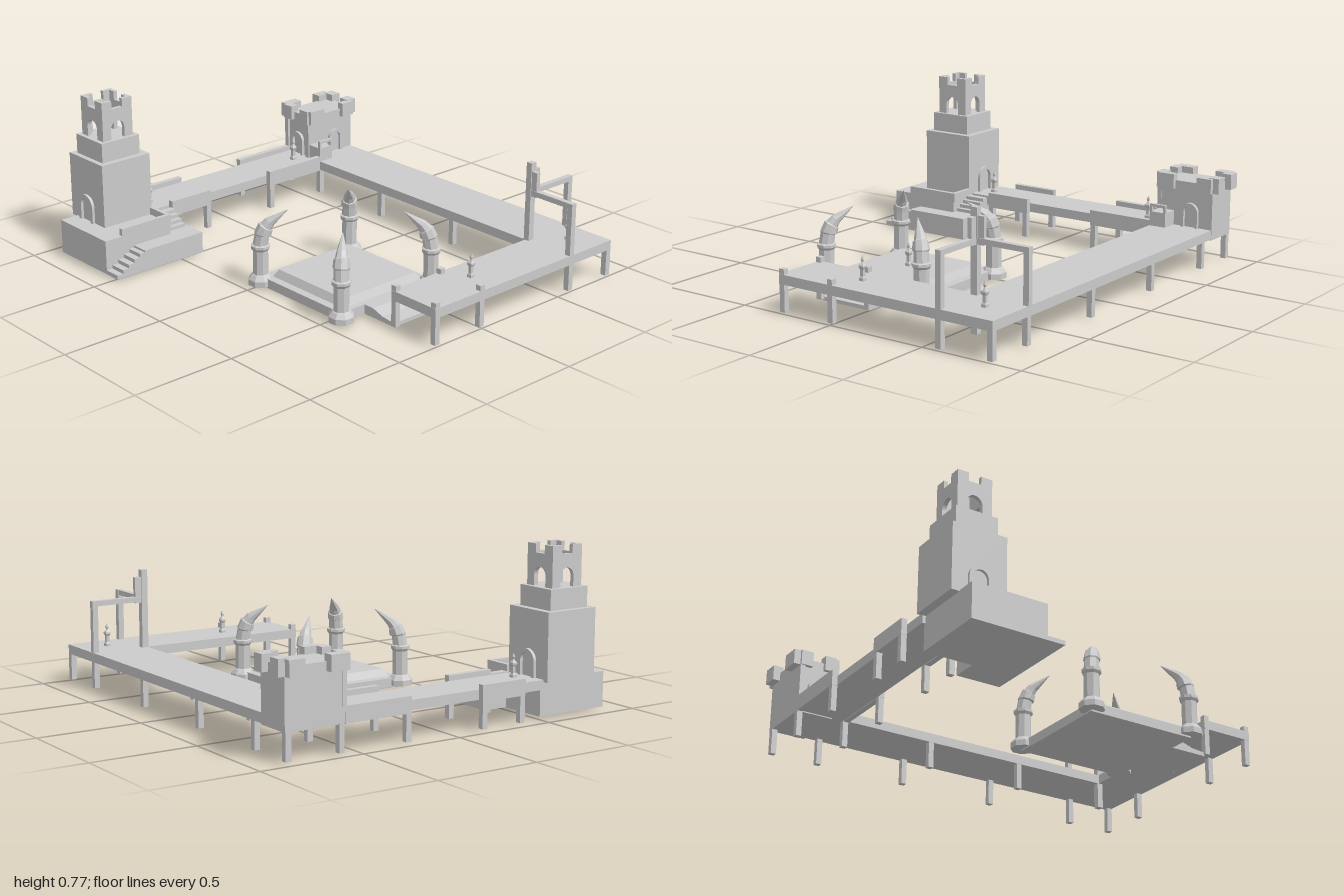
import * as THREE from 'three';

const mat = new THREE.MeshStandardMaterial({ color: 0xcccccc, flatShading: true, side: THREE.DoubleSide });

function add(parent, name, geo) {
  const m = new THREE.Mesh(geo, mat);
  m.name = name;
  parent.add(m);
  return m;
}

// Box given by its min and max on each axis
function box(parent, name, x0, x1, y0, y1, z0, z1) {
  const m = add(parent, name, new THREE.BoxGeometry(x1 - x0, y1 - y0, z1 - z0));
  m.position.set((x0 + x1) / 2, (y0 + y1) / 2, (z0 + z1) / 2);
  return m;
}

function group(parent, name) {
  const g = new THREE.Group();
  g.name = name;
  parent.add(g);
  return g;
}

function extrude(shape, depth) {
  return new THREE.ExtrudeGeometry(shape, { depth, bevelEnabled: false, curveSegments: 10 });
}

// Arched door surround, standing on y = 0 and facing +z
function archFrame(w, h, t, depth) {
  const r = w / 2, ri = r - t, s = new THREE.Shape();
  s.moveTo(r, 0);
  s.lineTo(r, h - r);
  s.absarc(0, h - r, r, 0, Math.PI, false);
  s.lineTo(-r, 0);
  s.lineTo(-ri, 0);
  s.lineTo(-ri, h - r);
  s.absarc(0, h - r, ri, Math.PI, 0, true);
  s.lineTo(ri, 0);
  return extrude(s, depth);
}

// Belfry wall with an arched opening below and a notch in the top
function belfryWall(w, h, t) {
  const s = new THREE.Shape(), a = 0.038, n = 0.03;
  s.moveTo(w / 2, 0);
  s.lineTo(w / 2, h);
  s.lineTo(n, h);
  s.lineTo(n, h - 0.04);
  s.lineTo(-n, h - 0.04);
  s.lineTo(-n, h);
  s.lineTo(-w / 2, h);
  s.lineTo(-w / 2, 0);
  s.lineTo(-a, 0);
  s.lineTo(-a, 0.05);
  s.absarc(0, 0.05, a, Math.PI, 0, true);
  s.lineTo(a, 0);
  return extrude(s, t);
}

function buildTower(root) {
  const g = group(root, 'tower');
  box(g, 'towerBase', -0.925, -0.56, 0.01, 0.175, 0.51, 0.885);
  box(g, 'towerBody', -0.965, -0.70, 0.17, 0.485, 0.515, 0.79);
  box(g, 'towerTier', -0.936, -0.73, 0.485, 0.58, 0.55, 0.765);
  const cx = -0.833, cz = 0.658, w = 0.17;
  for (let i = 0; i < 4; i++) {
    const side = group(g, 'belfrySide');
    side.position.set(cx, 0.58, cz);
    side.rotation.y = i * Math.PI / 2;
    add(side, 'belfryWall', belfryWall(w, 0.19, 0.02)).position.z = w / 2 - 0.02;
  }
  // Door surrounds on the front and towards the walkway
  for (const z of [0.787, 0.5]) add(g, 'towerDoorFrame', archFrame(0.11, 0.135, 0.018, 0.017)).position.set(cx, 0.172, z);

  // Side landing with outer stair and inner stair up to the walkway
  box(g, 'landing', -0.69, -0.475, 0.01, 0.112, 0.385, 0.725);
  for (let i = 0; i < 5; i++) {
    box(g, 'outerStep', -0.56, -0.475, 0.01, 0.03 + i * 0.018, 0.72, 0.885 - i * 0.033);
  }
  for (let i = 0; i < 4; i++) {
    box(g, 'innerStep', -0.70, -0.59 - i * 0.025, 0.11, 0.128 + i * 0.017, 0.40, 0.515);
  }
  box(g, 'stairWall', -0.70, -0.565, 0.165, 0.21, 0.505, 0.525);
  box(g, 'sideWall', -0.58, -0.56, 0.165, 0.21, 0.505, 0.79);
}

function buildWalkways(root) {
  const g = group(root, 'walkways');
  box(g, 'backDeck', -0.965, 1, 0.135, 0.18, -0.86, -0.57);
  box(g, 'leftDeck', -0.94, -0.727, 0.135, 0.18, -0.57, 0.52);
  box(g, 'rightDeck', 0.73, 1, 0.135, 0.18, -0.57, 0.29);
  // Low parapets on the left walkway
  for (const [z0, z1] of [[-0.57, -0.23], [0.15, 0.39]]) {
    for (const [x0, x1] of [[-0.967, -0.94], [-0.727, -0.70]]) box(g, 'parapet', x0, x1, 0.13, 0.205, z0, z1);
  }
  const leg = (x, z, top = 0.135) => box(g, 'leg', x - 0.0135, x + 0.0135, 0.008, top, z - 0.0135, z + 0.0135);
  for (const z of [-0.245, 0.165, 0.375]) {
    leg(-0.952, z);
    leg(-0.715, z);
  }
  for (const x of [-0.952, -0.715, -0.252, 0.25]) {
    leg(x, -0.845);
    leg(x, -0.585);
  }
  leg(0.74, -0.845);
  for (const x of [0.743, 0.985]) {
    leg(x, 0.275, 0.205);
    leg(x, 0, 0.205);
  }
}

function buildGateFrame(root) {
  const g = group(root, 'gateFrame');
  box(g, 'tallPost', 0.722, 0.752, 0.008, 0.56, -0.6, -0.568);
  box(g, 'postShoulderX', 0.752, 0.782, 0.40, 0.52, -0.595, -0.573);
  box(g, 'postShoulderZ', 0.727, 0.747, 0.40, 0.525, -0.632, -0.6);
  box(g, 'beamX', 0.75, 1, 0.405, 0.43, -0.597, -0.571);
  box(g, 'beamZ', 0.724, 0.75, 0.405, 0.43, -0.862, -0.6);
  box(g, 'endPostX', 0.972, 1, 0.008, 0.43, -0.598, -0.57);
  box(g, 'endPostZ', 0.724, 0.75, 0.18, 0.43, -0.862, -0.834);
  box(g, 'cornerLeg', 0.972, 1, 0.008, 0.135, -0.86, -0.832);
}

function buildGatehouse(root) {
  const g = group(root, 'gatehouse');
  box(g, 'gatehouseBody', -0.965, -0.785, 0.13, 0.40, -0.862, -0.575);
  // Overhanging merlons round the roof
  for (const [z0, z1] of [[-0.862, -0.785], [-0.66, -0.567]]) {
    box(g, 'merlon', -1, -0.95, 0.36, 0.432, z0, z1);
    box(g, 'merlon', -0.80, -0.765, 0.36, 0.432, z0, z1);
  }
  for (const [x0, x1] of [[-0.967, -0.907], [-0.843, -0.785]]) {
    box(g, 'merlon', x0, x1, 0.36, 0.435, -0.893, -0.84);
    box(g, 'merlon', x0, x1, 0.36, 0.432, -0.6, -0.555);
  }
  // Front corner posts and doorways
  for (const x of [-0.955, -0.795]) box(g, 'cornerPost', x - 0.012, x + 0.012, 0.18, 0.4, -0.585, -0.562);
  add(g, 'frontDoorFrame', archFrame(0.09, 0.12, 0.015, 0.015)).position.set(-0.875, 0.18, -0.575);
  const side = add(g, 'sideDoorFrame', archFrame(0.09, 0.12, 0.015, 0.015));
  side.position.set(-0.785, 0.18, -0.745);
  side.rotation.y = Math.PI / 2;
  // Small open booth beside the side door
  box(g, 'boothBase', -0.785, -0.70, 0.18, 0.25, -0.655, -0.57);
  for (const z of [-0.65, -0.575]) box(g, 'boothPost', -0.715, -0.70, 0.25, 0.28, z - 0.006, z + 0.006);
  box(g, 'boothRail', -0.715, -0.70, 0.275, 0.288, -0.656, -0.569);
}

// Octagonal pillar whose horn curves towards the arena centre
function buildHornPillar(parent, x, z, sx, sz) {
  const g = group(parent, 'hornPillar');
  g.position.set(x, 0, z);
  const profile = [[0, 0.008], [0.06, 0.008], [0.06, 0.035], [0.044, 0.055], [0.037, 0.06], [0.037, 0.175],
    [0.046, 0.187], [0.046, 0.2], [0.034, 0.205], [0, 0.205]].map(p => new THREE.Vector2(...p));
  add(g, 'pillarShaft', new THREE.LatheGeometry(profile, 8, Math.PI / 8));
  // Horn rings: inward offset, height, radius, tilt
  const rings = [[0, 0.2, 0.036, 0], [0.008, 0.25, 0.034, 0.15], [0.012, 0.255, 0.04, 0.2],
    [0.025, 0.29, 0.036, 0.5], [0.028, 0.293, 0.03, 0.6], [0.045, 0.315, 0.025, 0.75], [0.127, 0.375, 0.001, 0.8]];
  const pos = [], idx = [], n = 8;
  rings.forEach(([d, y, r, tilt], i) => {
    for (let j = 0; j < n; j++) {
      const a = j / n * Math.PI * 2, u = Math.cos(a) * r, v = Math.sin(a) * r;
      pos.push(d + u * Math.cos(tilt), y - u * Math.sin(tilt), v);
      if (i) {
        const p = (i - 1) * n + j, q = (i - 1) * n + (j + 1) % n;
        idx.push(p, p + n, q, q, p + n, q + n);
      }
    }
  });
  const geo = new THREE.BufferGeometry();
  geo.setAttribute('position', new THREE.Float32BufferAttribute(pos, 3));
  geo.setIndex(idx);
  geo.computeVertexNormals();
  add(g, 'horn', geo).rotation.y = Math.atan2(-sz, sx);
}

function buildArena(root) {
  const g = group(root, 'arena');
  const cx = 0.267, cz = 0.135;
  box(g, 'arenaBase', -0.013, 0.545, 0, 0.045, -0.148, 0.415);
  // Upper floor with sloped edges
  const floor = new THREE.CylinderGeometry(0.44 / Math.SQRT2, 0.48 / Math.SQRT2, 0.035, 4);
  floor.rotateY(Math.PI / 4);
  add(g, 'arenaFloor', floor).position.set(cx + 0.008, 0.0625, cz);
  // Ramp out to the right walkway
  const s = new THREE.Shape();
  [[0.5, 0], [0.735, 0], [0.735, 0.018], [0.66, 0.025], [0.6, 0.045], [0.5, 0.045]]
    .forEach(([x, y], i) => (i ? s.lineTo(x, y) : s.moveTo(x, y)));
  add(g, 'ramp', extrude(s, 0.275)).position.z = 0;
  for (const sx of [-1, 1]) for (const sz of [-1, 1]) {
    buildHornPillar(g, cx + sx * 0.275, cz + sz * 0.277, -sx, -sz);
  }
}

function buildLamps(root) {
  const profile = [[0, 0], [0.017, 0], [0.017, 0.012], [0.011, 0.02], [0.011, 0.05], [0.018, 0.06], [0.018, 0.068],
    [0.007, 0.078], [0.004, 0.084], [0.009, 0.094], [0, 0.113]].map(p => new THREE.Vector2(...p));
  const geo = new THREE.LatheGeometry(profile, 4, Math.PI / 4);
  for (const [x, y, z] of [[0.277, 0.08, 0.14], [0.86, 0.18, -0.72], [0.86, 0.18, -0.07],
    [-0.82, 0.18, -0.49], [-0.82, 0.18, 0.44]]) add(root, 'lamp', geo).position.set(x, y, z);
}

export function createModel() {
  const root = new THREE.Group();
  root.name = 'courtyard';
  buildTower(root);
  buildWalkways(root);
  buildGateFrame(root);
  buildGatehouse(root);
  buildArena(root);
  buildLamps(root);
  return root;
}
